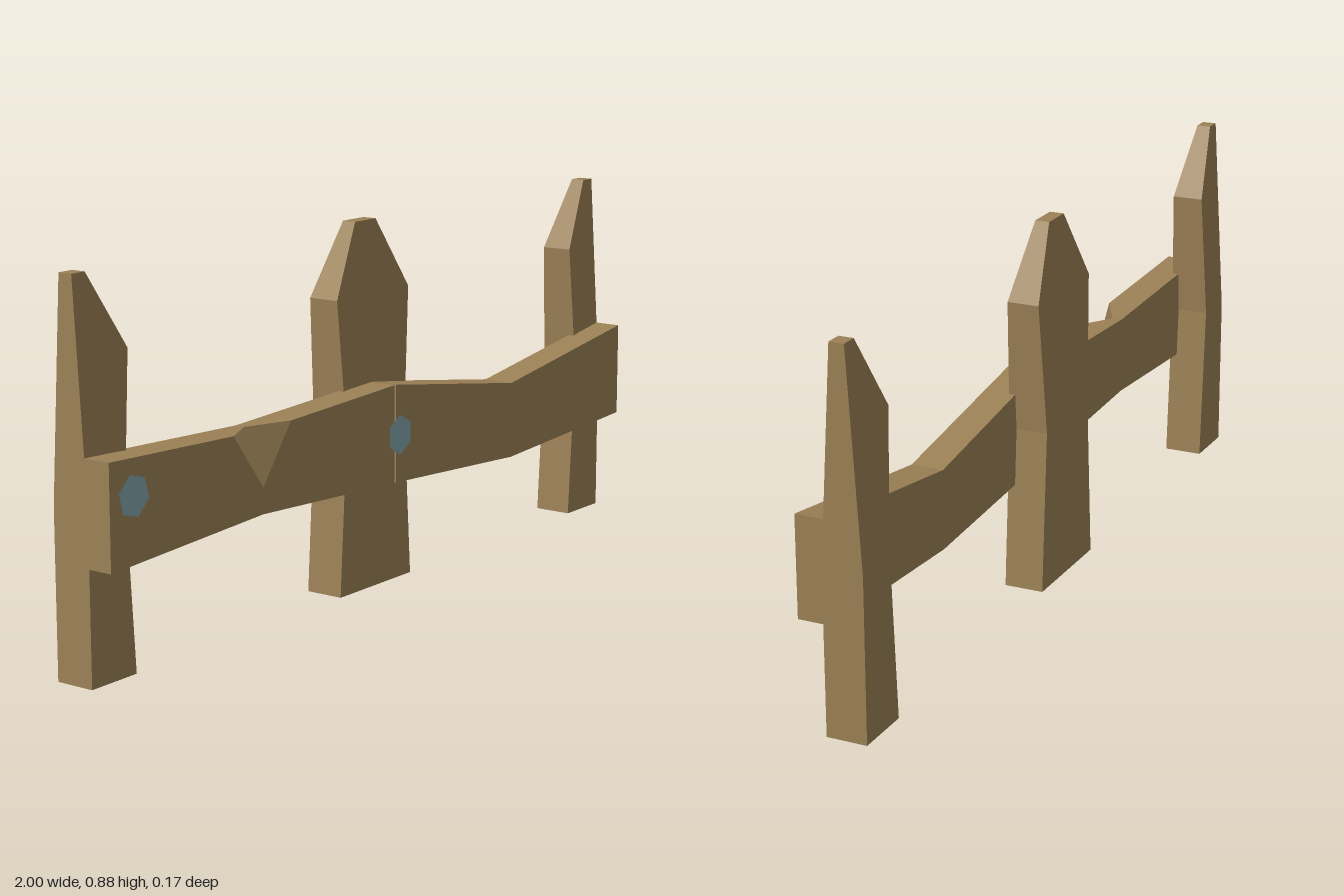
import * as THREE from 'three';

const wood = new THREE.MeshStandardMaterial({ color: 0x9c8156 });
wood.name = 'wood';
const metal = new THREE.MeshStandardMaterial({ color: 0x84a5aa });
metal.name = 'paleMetal';

// Flat-shaded geometry from convex polygons, each fanned from its first corner
function polyGeometry(polys, flip = false) {
  const pos = [];
  for (const p of polys) {
    for (let i = 1; i < p.length - 1; i++) {
      const tri = flip ? [p[0], p[i + 1], p[i]] : [p[0], p[i], p[i + 1]];
      tri.forEach((v) => pos.push(...v));
    }
  }
  const g = new THREE.BufferGeometry();
  g.setAttribute('position', new THREE.Float32BufferAttribute(pos, 3));
  g.computeVertexNormals();
  return g;
}

function addMesh(parent, name, geometry, material) {
  const m = new THREE.Mesh(geometry, material);
  m.name = name;
  parent.add(m);
  return m;
}

// Half of a pointed board, from its centre line out to one side (+1 or -1)
function halfPost(side, capped) {
  const ring = (x, y, f, b) => [[x * side, y, f], [x * side, y, b]];
  const [c0f, c0b] = ring(0, 0, 0.013, -0.083);
  const [c1f, c1b] = ring(0, 0.38, 0.013, -0.083);
  const [c2f, c2b] = ring(0, 0.875, -0.018, -0.053);
  const edge = [
    ring(0.14, 0, 0.013, -0.083),
    ring(0.115, 0.39, 0.013, -0.083),
    ring(0.14, 0.705, 0.005, -0.073),
    ring(0.04, 0.875, -0.018, -0.053),
  ];
  const [f0, f1, f2, f3] = edge.map((e) => e[0]);
  const [b0, b1, b2, b3] = edge.map((e) => e[1]);
  const polys = [
    [c0f, f0, f1, c1f], [c1f, f1, f3, c2f], [f1, f2, f3],
    [c1b, b1, b0, c0b], [c2b, b3, b1, c1b], [b3, b2, b1],
    [c2f, f3, b3, c2b], [c0b, b0, f0, c0f],
  ];
  for (let i = 0; i < 3; i++) {
    polys.push([edge[i][0], edge[i][1], edge[i + 1][1], edge[i + 1][0]]);
  }
  if (capped) polys.push([c0f, c1f, c2f, c2b, c1b, c0b]);
  return polyGeometry(polys, side < 0);
}

// Rail with a bend in the middle; stations are [x, bottom, top]
function rail(parent, name, stations, chipped) {
  const F = 0.073, B = -0.005;
  const [s0, s1, s2] = stations.map(([x, lo, hi]) => ({
    lf: [x, lo, F], lb: [x, lo, B], hf: [x, hi, F], hb: [x, hi, B],
  }));
  const polys = [
    [s0.lf, s0.hf, s0.hb, s0.lb],
    [s2.lf, s2.lb, s2.hb, s2.hf],
  ];
  for (const [a, b] of [[s0, s1], [s1, s2]]) {
    polys.push([b.lb, a.lb, a.hb, b.hb], [a.lb, b.lb, b.lf, a.lf]);
    if (!chipped) polys.push([a.lf, b.lf, b.hf, a.hf], [a.hf, b.hf, b.hb, a.hb]);
  }
  const group = new THREE.Group();
  group.name = name;
  parent.add(group);
  if (chipped) {
    // Notch split out of the upper front edge
    const [x, , y] = stations[1];
    const l = [x - 0.1, y + 0.004, F], r = [x + 0.1, y + 0.004, F];
    const low = [x, 0.345, F], deep = [x, y, 0.02];
    polys.push(
      [low, l, s0.hf, s0.lf, s1.lf], [low, s1.lf, s2.lf, s2.hf, r],
      [deep, s1.hb, s0.hb, s0.hf, l], [deep, r, s2.hf, s2.hb, s1.hb],
    );
    const chip = polyGeometry([[l, low, deep], [low, r, deep]]);
    // One shared normal blends the two split faces
    const n = chip.attributes.normal;
    for (let i = 0; i < n.count; i++) n.setXYZ(i, 0, 0.4, 0.917);
    addMesh(group, 'splitNotch', chip, wood);
  }
  addMesh(group, 'railBoard', polyGeometry(polys), wood);
}

export function createModel() {
  const model = new THREE.Group();
  model.name = 'fence';

  // Full post in the middle, half posts cut flush at both ends
  const middle = new THREE.Group();
  middle.name = 'middlePost';
  model.add(middle);
  for (const side of [1, -1]) {
    addMesh(middle, 'postHalf', halfPost(side, false), wood);
    const end = addMesh(model, side > 0 ? 'rightEndPost' : 'leftEndPost', halfPost(side, true), wood);
    end.position.x = -side;
  }

  // Two sagging rails that meet at the middle post
  rail(model, 'rightRail', [[-1, 0.26, 0.495], [-0.5, 0.285, 0.475], [-0.008, 0.26, 0.495]], true);
  rail(model, 'leftRail', [[-0.002, 0.26, 0.495], [0.49, 0.231, 0.42], [1, 0.258, 0.493]], false);

  // Six-sided nail heads, flaring outwards
  for (const [x, y, turn] of [[-0.938, 0.415, 0.25], [-0.002, 0.377, 0]]) {
    const g = new THREE.CylinderGeometry(0.048, 0.026, 0.012, 6).toNonIndexed();
    g.rotateX(Math.PI / 2);
    g.computeVertexNormals();
    const nail = addMesh(model, 'nailHead', g, metal);
    nail.rotation.z = turn;
    nail.position.set(x, y, 0.079);
  }
  return model;
}
